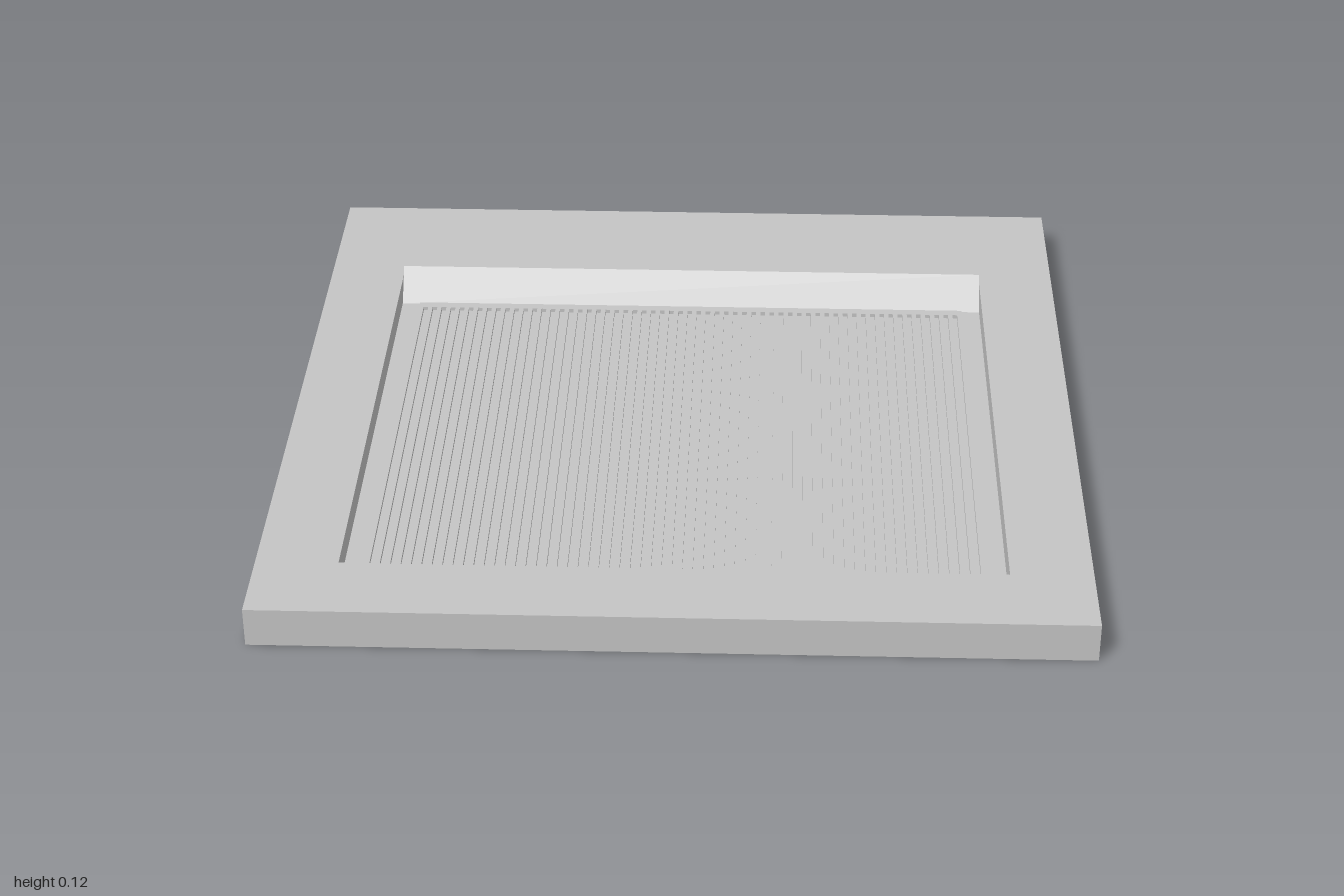
import * as THREE from 'three';

export function createModel() {
  const model = new THREE.Group();
  const grey = new THREE.MeshStandardMaterial({ color: 0xc4c4c4 });
  grey.name = 'plain grey';
  const floorY = 0.04;

  function add(name, geometry, parent = model) {
    const mesh = new THREE.Mesh(geometry, grey);
    mesh.name = name;
    parent.add(mesh);
    return mesh;
  }
  function box(name, w, h, d, x, y, z, parent) {
    const mesh = add(name, new THREE.BoxGeometry(w, h, d), parent);
    mesh.position.set(x, y + h / 2, z);
    return mesh;
  }
  function square(Type, r) {
    return new Type([[-r, -r], [r, -r], [r, r], [-r, r]].map(p => new THREE.Vector2(...p)));
  }

  // Base plate and the raised rim around the recess
  box('basePlate', 2, floorY, 2, 0, 0, 0);
  const rimShape = square(THREE.Shape, 1);
  rimShape.holes.push(square(THREE.Path, 0.8));
  const rim = new THREE.ExtrudeGeometry(rimShape, { depth: 0.1 - floorY, bevelEnabled: false });
  rim.rotateX(-Math.PI / 2);
  rim.translate(0, floorY, 0);
  add('rim', rim);

  // Hood with a sloped front, running along the back of the recess
  const backZ = -0.788;
  const profile = new THREE.Shape([
    [-backZ, floorY], [0.55, floorY], [0.62, 0.12], [-backZ, 0.12],
  ].map(p => new THREE.Vector2(...p)));
  const hood = new THREE.ExtrudeGeometry(profile, { depth: 1.6, bevelEnabled: false });
  hood.rotateY(Math.PI / 2); // profile x becomes -z, depth becomes x
  hood.translate(-0.8, 0, 0);
  add('hood', hood);

  // Back edge of the hood, split by three small notches
  const backEdge = new THREE.Group();
  backEdge.name = 'hoodBackEdge';
  model.add(backEdge);
  const notch = 0.03;
  for (let i = 0; i < 4; i++) {
    const x0 = -0.8 + i * 0.4 + (i > 0 ? notch / 2 : 0);
    const x1 = -0.4 + i * 0.4 - (i < 3 ? notch / 2 : 0);
    box('backEdgeSegment', x1 - x0, 0.12 - floorY, 0.012, (x0 + x1) / 2, floorY, -0.794, backEdge);
  }

  // Header bar and the row of thin fins in the recess
  box('headerBar', 1.5, 0.01, 0.025, 0, floorY, -0.5275);
  const fins = new THREE.Group();
  fins.name = 'fins';
  model.add(fins);
  const count = 60, finWidth = 0.0125;
  for (let i = 0; i < count; i++) {
    const x = -0.75 + finWidth / 2 + i * (1.5 - finWidth) / (count - 1);
    box('fin', finWidth, 0.01, 1.275, x, floorY, 0.1225, fins);
  }

  return model;
}
